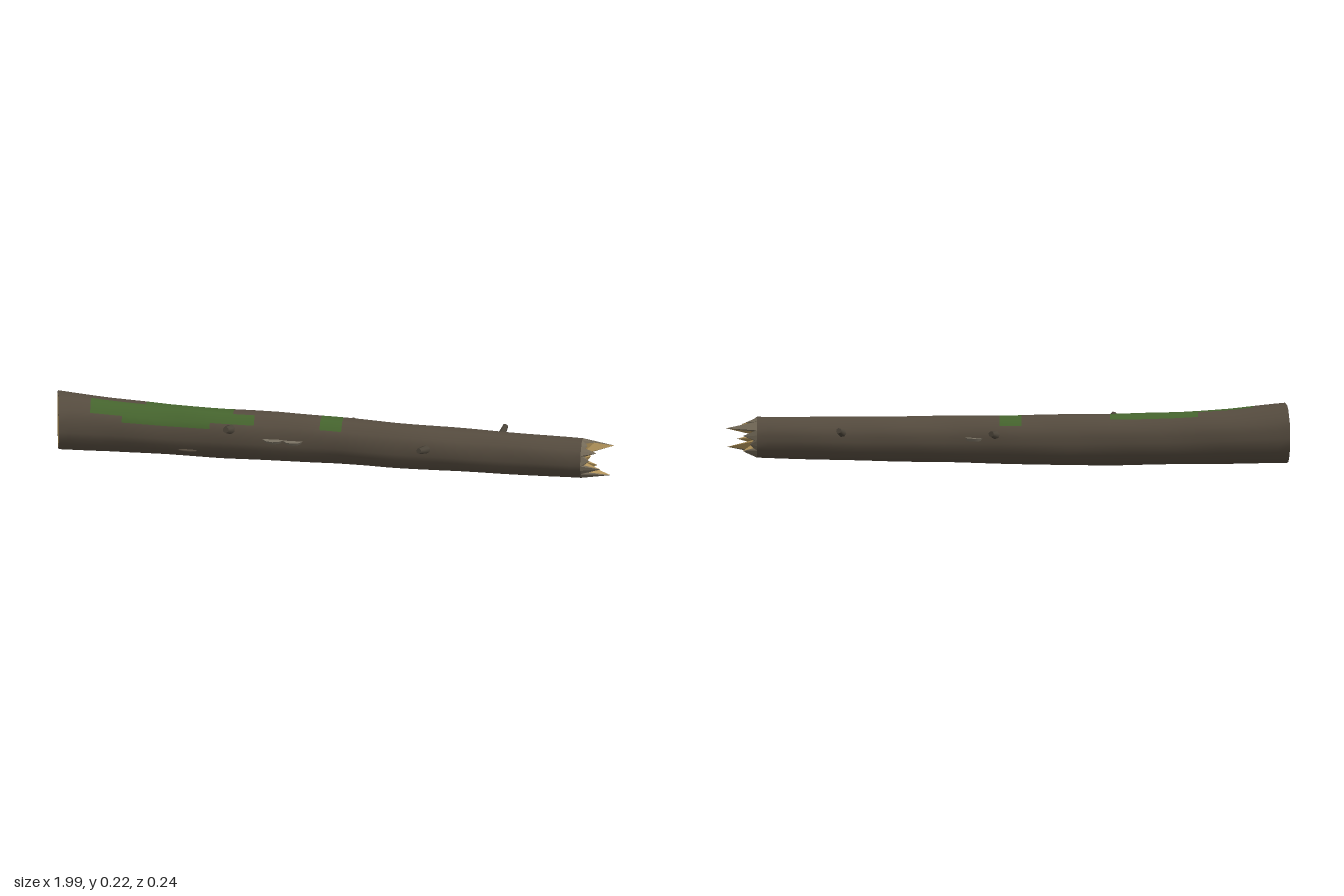
import * as THREE from 'three';

const mat = (name, color, double) => {
  const m = new THREE.MeshStandardMaterial({ color });
  m.name = name;
  if (double) m.side = THREE.DoubleSide;
  return m;
};

// Profile along the log: x, bottom, top, back z, front z
const PROFILE = [
  [-0.985, 0.010, 0.226, -0.116, 0.077],
  [-0.8, 0.010, 0.207, -0.113, 0.060],
  [-0.6, 0.008, 0.194, -0.106, 0.050],
  [-0.4, 0.005, 0.189, -0.103, 0.047],
  [-0.2, 0.005, 0.187, -0.105, 0.045],
  [0.0, 0.010, 0.182, -0.100, 0.047],
  [0.2, 0.012, 0.178, -0.085, 0.062],
  [0.4, 0.015, 0.175, -0.080, 0.066],
  [0.6, 0.018, 0.172, -0.069, 0.070],
  [0.88, 0.024, 0.170, -0.052, 0.077],
];
const X0 = -0.985, X1 = 0.88, RINGS = 48, SIDES = 24;

// Moss areas on the bark: x range, angle range in degrees (0 = front, 90 = top)
const MOSS = [
  [-0.87, -0.75, 50, 85], [-0.75, -0.67, 35, 95], [-0.67, -0.43, 35, 120],
  [-0.43, -0.36, 45, 120], [-0.36, -0.28, 40, 75], [-0.05, 0.035, 45, 135],
];

function section(x) {
  let k = 0;
  while (k < PROFILE.length - 2 && x > PROFILE[k + 1][0]) k++;
  const a = PROFILE[k], b = PROFILE[k + 1];
  const t = (x - a[0]) / (b[0] - a[0]);
  const [, y0, y1, z0, z1] = a.map((v, i) => v + (b[i] - v) * t);
  return { cy: (y0 + y1) / 2, ry: (y1 - y0) / 2, cz: (z0 + z1) / 2, rz: (z1 - z0) / 2 };
}

// Point on the bark; s scales the radius
function barkPoint(x, a, s = 1) {
  const c = section(x);
  const r = s * (0.985 + 0.02 * Math.cos(9 * a + 1) + 0.008 * Math.sin(17 * x + 3 * a));
  const z = c.cz + c.rz * r * Math.cos(a);
  const slant = 0.15 * (z - c.cz) * Math.max(0, 1 - (x - X0) / 0.2);
  return new THREE.Vector3(x + slant, c.cy + c.ry * r * Math.sin(a), z);
}

const angle = (j) => (j / SIDES) * Math.PI * 2;

function trunkGeometry() {
  const pos = [], bark = [], moss = [];
  for (let i = 0; i <= RINGS; i++)
    for (let j = 0; j < SIDES; j++)
      pos.push(...barkPoint(X0 + (X1 - X0) * i / RINGS, angle(j)).toArray());
  for (let i = 0; i < RINGS; i++)
    for (let j = 0; j < SIDES; j++) {
      const x = X0 + (X1 - X0) * (i + 0.5) / RINGS, deg = (j + 0.5) * 360 / SIDES;
      const mossy = MOSS.some(([a, b, c, d]) => x > a && x < b && deg > c && deg < d);
      const n = (j + 1) % SIDES, p = i * SIDES, q = p + SIDES;
      (mossy ? moss : bark).push(p + j, q + j, q + n, p + j, q + n, p + n);
    }
  const g = new THREE.BufferGeometry();
  g.setAttribute('position', new THREE.Float32BufferAttribute(pos, 3));
  g.setIndex([...bark, ...moss]);
  g.addGroup(0, bark.length, 0);
  g.addGroup(bark.length, moss.length, 1);
  g.computeVertexNormals();
  return g;
}

// Flat-shaded surface from a list of triangles
function facets(tris) {
  const g = new THREE.BufferGeometry();
  g.setAttribute('position', new THREE.Float32BufferAttribute(tris.flatMap((v) => v.toArray()), 3));
  g.computeVertexNormals();
  return g;
}

export function createModel() {
  const bark = mat('bark', 0x574d40);
  const moss = mat('moss', 0x47662f);
  const wood = mat('wood', 0xb5965c, true);
  const brokenBark = mat('broken bark', 0x746a58, true);
  const core = mat('dark core', 0x3a3024, true);
  const twig = mat('dead branch', 0x4c453a);
  const fungus = mat('fungus', 0x7a7263);

  const log = new THREE.Group();
  log.name = 'fallenLog';
  const add = (name, geometry, material) => {
    const m = new THREE.Mesh(geometry, material);
    m.name = name;
    log.add(m);
    return m;
  };

  add('trunk', trunkGeometry(), [bark, moss]);

  // Sawn end with a narrow bark rim
  const s0 = section(X0), mid = new THREE.Vector3(X0, s0.cy, s0.cz);
  const cap = [], rim = [];
  for (let j = 0; j < SIDES; j++) {
    const a = angle(j), b = angle(j + 1);
    const o0 = barkPoint(X0, a), o1 = barkPoint(X0, b);
    const i0 = barkPoint(X0, a, 0.95), i1 = barkPoint(X0, b, 0.95);
    rim.push(o0, o1, i1, o0, i1, i0);
    cap.push(mid, i0, i1);
  }
  add('sawnEnd', facets(cap), wood);
  add('sawnEndRim', facets(rim), bark);

  // Broken end: a ring of splinters around a sunken core
  const SPL = 12, lengths = [0.03, 0.055, 0.02, 0.04, 0.11, 0.05, 0.025, 0.05, 0.02, 0.045, 0.105, 0.07];
  const s1 = section(X1), hub = new THREE.Vector3(X1 - 0.02, s1.cy, s1.cz);
  const outer = [], inner = [], dark = [];
  for (let k = 0; k < SPL; k++) {
    const a = angle(2 * k), m = angle(2 * k + 1), b = angle(2 * k + 2);
    const rimA = barkPoint(X1, a), rimM = barkPoint(X1, m), rimB = barkPoint(X1, b);
    const notchA = barkPoint(X1, a, 0.84), notchB = barkPoint(X1, b, 0.84);
    notchA.x += 0.012;
    notchB.x += 0.012;
    const tip = barkPoint(X1, m, 0.8);
    tip.x += lengths[k];
    const inA = barkPoint(X1, a, 0.2), inB = barkPoint(X1, b, 0.2);
    inA.x -= 0.005;
    inB.x -= 0.005;
    outer.push(rimA, notchA, tip, rimA, tip, rimM, rimM, tip, rimB, rimB, tip, notchB);
    inner.push(notchA, inA, tip, inA, inB, tip, inB, notchB, tip);
    dark.push(hub, inB, inA);
  }
  add('splinterBacks', facets(outer), brokenBark);
  add('splinterWood', facets(inner), wood);
  add('brokenCore', facets(dark), core);

  // Broken branch stubs: start, tip, radius
  const stubs = [
    [[-0.365, 0.14, 0.02], [-0.378, 0.166, 0.08], 0.016],
    [[0.335, 0.115, 0.04], [0.312, 0.143, 0.118], 0.014],
    [[0.03, 0.12, -0.07], [0.055, 0.135, -0.117], 0.015],
    [[0.575, 0.12, -0.04], [0.592, 0.146, -0.112], 0.014],
  ];
  for (const [from, to, r] of stubs) {
    const a = new THREE.Vector3(...from), b = new THREE.Vector3(...to);
    const dir = b.clone().sub(a);
    const g = new THREE.CylinderGeometry(r * 0.7, r * 1.2, dir.length(), 7);
    const stub = add('branchStub', g, twig);
    stub.position.copy(a).add(b).multiplyScalar(0.5);
    stub.quaternion.setFromUnitVectors(new THREE.Vector3(0, 1, 0), dir.normalize());
  }

  // Shelf fungi on both flanks: x, y, z, radius
  const shelves = [
    [-0.215, 0.113, 0.036, 0.038], [-0.145, 0.111, 0.036, 0.036],
    [0.115, 0.110, -0.083, 0.032],
  ];
  for (const [x, y, z, r] of shelves) {
    const shelf = add('shelfFungus', new THREE.CylinderGeometry(r, r * 0.8, 0.011, 10), fungus);
    shelf.position.set(x, y, z);
    shelf.scale.z = 0.7;
  }

  // Low knot near the foot of the front flank
  const knot = add('knot', new THREE.SphereGeometry(0.04, 10, 6), bark);
  knot.scale.set(1, 0.16, 0.3);
  knot.position.set(-0.52, 0.056, 0.033);

  return log;
}
